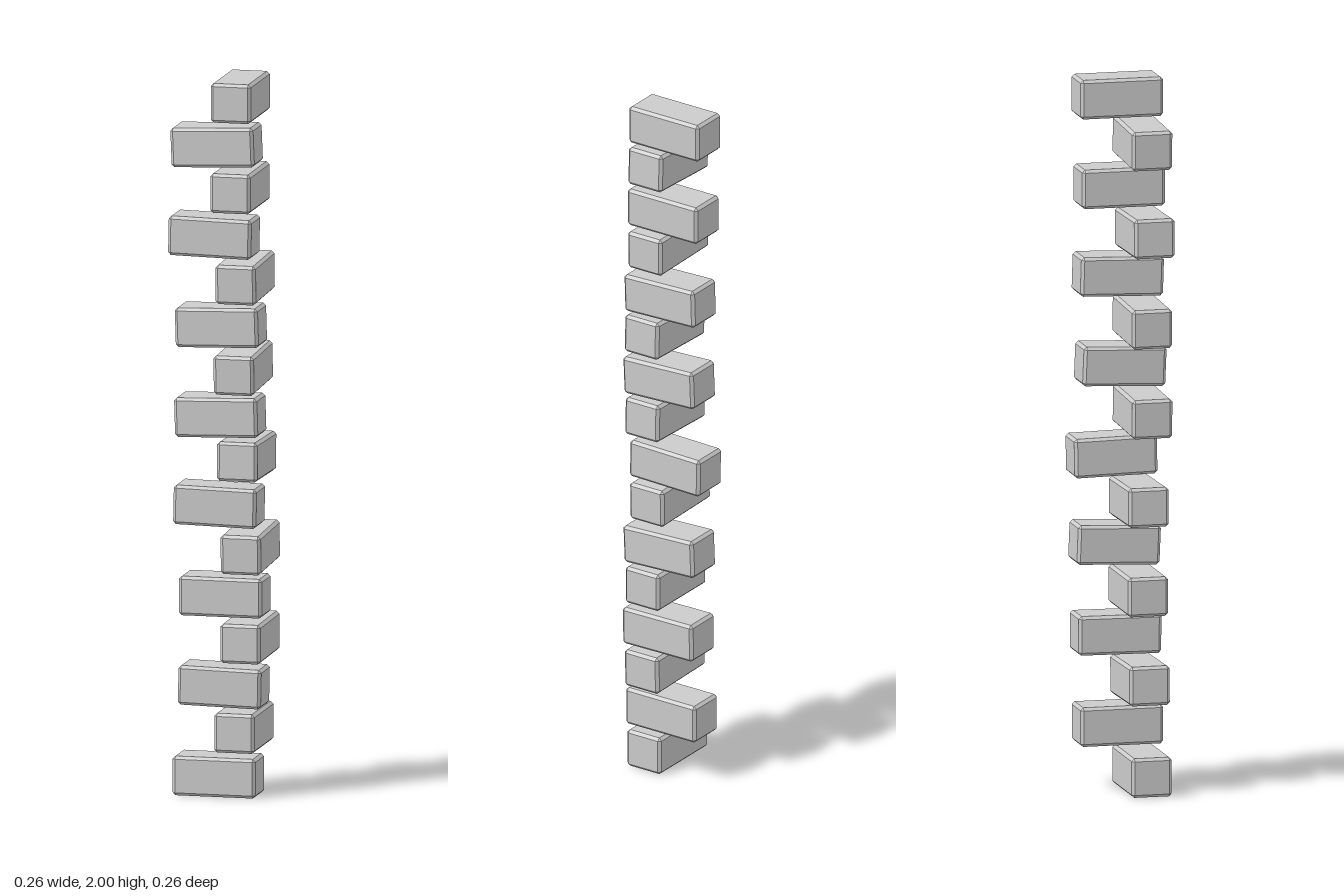
import * as THREE from 'three';
import { ConvexGeometry } from 'three/addons/geometries/ConvexGeometry.js';

const LENGTH = 0.235, WIDTH = 0.114, HEIGHT = 0.11, BEVEL = 0.008;

// Box with flat chamfered edges: three corner points per corner, hulled
function chamferedBox(w, h, d, c) {
  const points = [];
  for (const sx of [-1, 1]) for (const sy of [-1, 1]) for (const sz of [-1, 1]) {
    const x = w / 2, y = h / 2, z = d / 2;
    points.push(
      new THREE.Vector3(sx * x, sy * (y - c), sz * (z - c)),
      new THREE.Vector3(sx * (x - c), sy * y, sz * (z - c)),
      new THREE.Vector3(sx * (x - c), sy * (y - c), sz * z));
  }
  return new ConvexGeometry(points);
}

// Bottom to top: centre x, centre z, lengthwise tilt
const BLOCKS = [
  [-0.005, 0.058, 0], [0.054, 0.003, 0],
  [0.010, 0.056, -0.02], [0.071, 0.002, 0.01],
  [0.012, 0.052, 0], [0.071, -0.001, 0.04],
  [-0.005, 0.049, -0.02], [0.058, -0.013, -0.02],
  [0.001, 0.061, 0.03], [0.054, 0.011, 0.04],
  [0.003, 0.061, 0.03], [0.058, 0.005, 0.03],
  [-0.016, 0.063, -0.02], [0.043, 0.005, 0],
  [-0.010, 0.058, 0.04], [0.043, 0, 0],
];

export function createModel() {
  const group = new THREE.Group();
  group.name = 'blockTower';
  const material = new THREE.MeshStandardMaterial({ color: 0xcccccc, flatShading: true });
  const crossGeometry = chamferedBox(LENGTH, HEIGHT, WIDTH, BEVEL);
  const deepGeometry = chamferedBox(WIDTH, HEIGHT, LENGTH, BEVEL);
  const pitch = (2 - HEIGHT) / (BLOCKS.length - 1);

  // Blocks alternate between lying along x and along z
  BLOCKS.forEach(([x, z, tilt], i) => {
    const alongX = i % 2 === 0;
    const block = new THREE.Mesh(alongX ? crossGeometry : deepGeometry, material);
    block.name = `${alongX ? 'crosswise' : 'lengthwise'}Block${i + 1}`;
    block.position.set(x, HEIGHT / 2 + i * pitch, z);
    if (alongX) block.rotation.z = tilt;
    else block.rotation.x = tilt;
    group.add(block);
  });
  return group;
}
